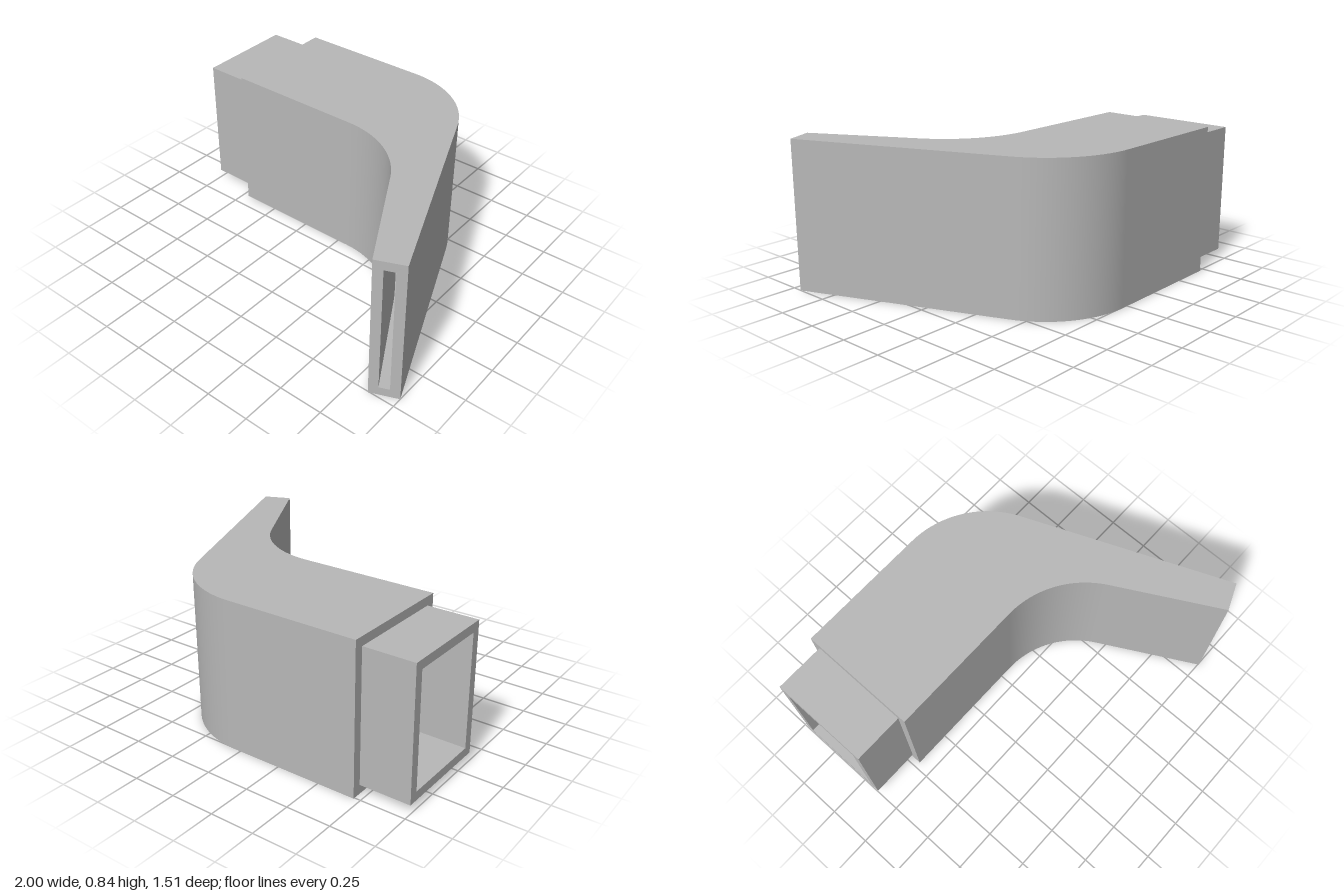
import * as THREE from 'three';
import { mergeGeometries } from 'three/addons/utils/BufferGeometryUtils.js';

// Quad strip between two equally long rows of points, smooth along its length
function strip(a, b) {
  const pos = [], idx = [];
  a.forEach((p, i) => {
    pos.push(...p, ...b[i]);
    const k = i * 2;
    if (i < a.length - 1) idx.push(k, k + 1, k + 2, k + 1, k + 3, k + 2);
  });
  const g = new THREE.BufferGeometry();
  g.setAttribute('position', new THREE.Float32BufferAttribute(pos, 3));
  g.setIndex(idx);
  g.computeVertexNormals();
  return g;
}

// Plan path [x, z]: straight run, arc bend, then straight to the end point
function bend(x0, z0, xArc, radius, angle, end) {
  const pts = [[x0, z0]], n = 24;
  for (let i = 0; i <= n; i++) {
    const t = (angle * i) / n;
    pts.push([xArc + radius * Math.sin(t), z0 + radius * (1 - Math.cos(t))]);
  }
  pts.push(end);
  return pts;
}

// Four corner rails of a rectangular section swept between two plan paths
function rails({ back, front, y0, y1 }) {
  const at = (path, y) => path.map(([x, z]) => [x, y, z]);
  return [at(back, y0), at(back, y1), at(front, y1), at(front, y0)];
}

// Open-ended hollow duct: outer skin, inner skin and a rim at each end
function duct(name, outer, inner, material) {
  const o = rails(outer), i = rails(inner), parts = [];
  for (let k = 0; k < 4; k++) {
    const n = (k + 1) % 4;
    const first = (r) => r[0], last = (r) => r[r.length - 1];
    parts.push(strip(o[k], o[n]), strip(i[n], i[k]));
    parts.push(strip([first(o[k]), first(o[n])], [first(i[k]), first(i[n])]));
    parts.push(strip([last(i[k]), last(i[n])], [last(o[k]), last(o[n])]));
  }
  const mesh = new THREE.Mesh(mergeGeometries(parts), material);
  mesh.name = name;
  return mesh;
}

export function createModel() {
  const group = new THREE.Group();
  group.name = 'airDuct';
  const grey = new THREE.MeshStandardMaterial({ color: 0xb8b8b8 });
  grey.name = 'grey';

  // Curved body, narrowing to a tall slot
  const backAngle = 1.176, frontAngle = 1.066, wall = 0.05, x0 = -0.715;
  group.add(duct('curvedBody',
    {
      back: bend(x0, -0.757, 0.04, 0.54, backAngle, [1, 0.693]),
      front: bend(x0, -0.085, 0.07, 0.54, frontAngle, [0.85, 0.755]),
      y0: 0, y1: 0.84,
    },
    {
      back: bend(x0, -0.757 + wall, 0.04, 0.54 - wall, backAngle, [0.951, 0.713]),
      front: bend(x0, -0.085 - wall, 0.07, 0.54 + wall, frontAngle, [0.898, 0.735]),
      y0: wall, y1: 0.84 - wall,
    }, grey));

  // Smaller rectangular inlet collar
  const run = (z) => [[-1, z], [-0.7, z]];
  group.add(duct('inletCollar',
    { back: run(-0.706), front: run(-0.136), y0: 0.05, y1: 0.79 },
    { back: run(-0.656), front: run(-0.186), y0: 0.1, y1: 0.74 }, grey));

  return group;
}
